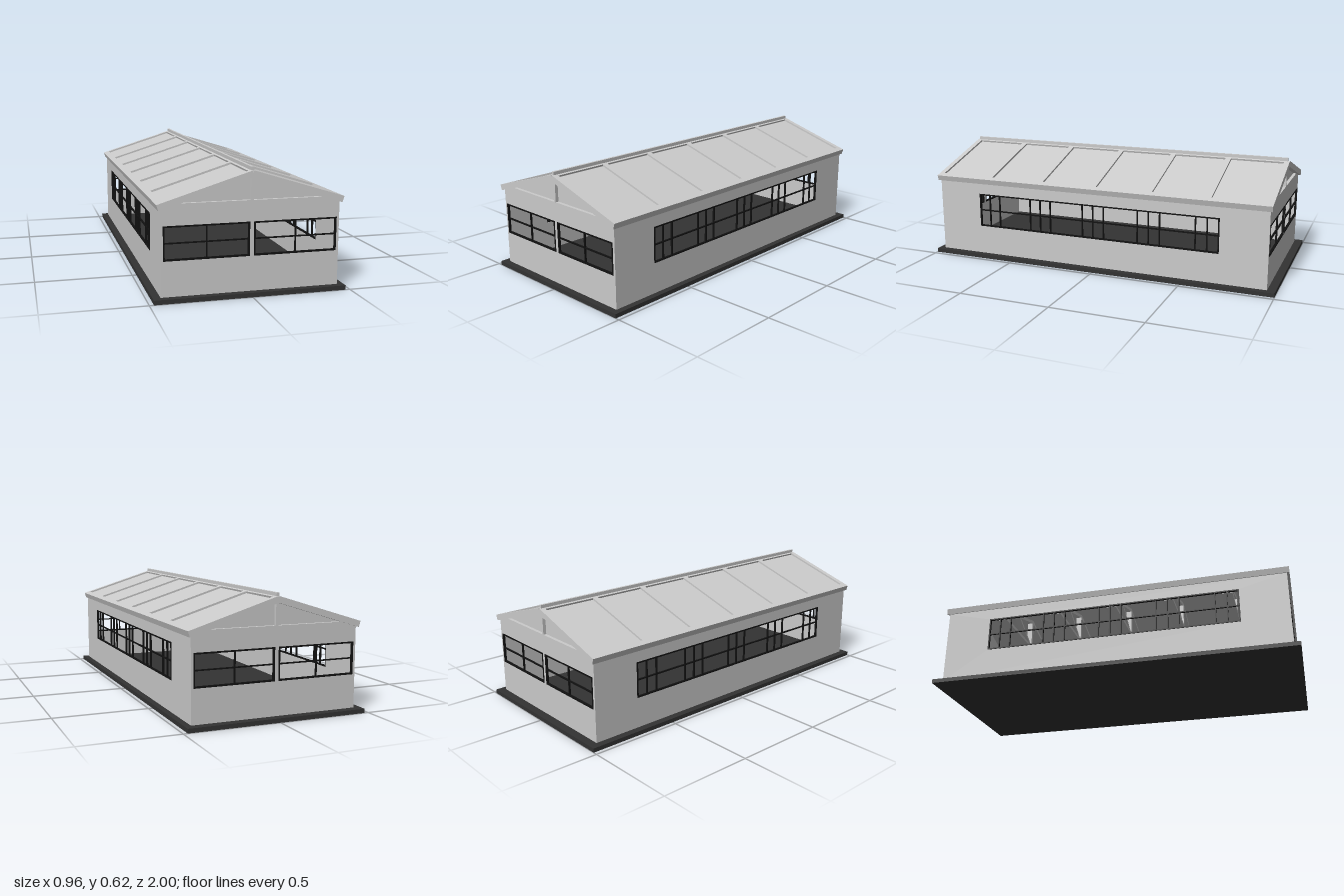
import * as THREE from 'three';

const grey = new THREE.MeshStandardMaterial({ color: 0xcccccc, side: THREE.DoubleSide });
const dark = new THREE.MeshStandardMaterial({ color: 0x333333 });
const black = new THREE.MeshStandardMaterial({ color: 0x111111 });

const HX = 0.443, HZ = 0.961, ROOF_Z = 0.974; // wall and roof half sizes
const BASE = 0.022, EAVE = 0.44, WALL = 0.01, APEX = 0.608;
const PITCH = Math.atan(0.309), SLOPE = 0.48;
const BAYS = [-0.64, -0.32, 0, 0.32, 0.64];

function box(parent, name, w, h, d, x, y, z, mat = grey) {
  const m = new THREE.Mesh(new THREE.BoxGeometry(w, h, d), mat);
  m.name = name;
  m.position.set(x, y, z);
  parent.add(m);
  return m;
}

// Beam between two points in the cross-section plane
function beam(parent, name, a, b, thick, depth, z) {
  const dx = b[0] - a[0], dy = b[1] - a[1];
  const m = box(parent, name, Math.hypot(dx, dy), thick, depth, (a[0] + b[0]) / 2, (a[1] + b[1]) / 2, z);
  m.rotation.z = Math.atan2(dy, dx);
}

const poly = pts => new THREE.Shape(pts.map(p => new THREE.Vector2(...p)));
const rect = (x0, y0, x1, y1) => [[x0, y0], [x1, y0], [x1, y1], [x0, y1]];

function plate(parent, name, pts, holes, depth, z) {
  const shape = poly(pts);
  holes.forEach(h => shape.holes.push(poly(h)));
  const m = new THREE.Mesh(new THREE.ExtrudeGeometry(shape, { depth, bevelEnabled: false }), grey);
  m.name = name;
  m.position.z = z;
  parent.add(m);
  return m;
}

// Open window frame with vertical bars at the given offsets and one middle rail
function windowFrame(parent, name, x, y, z, w, h, bars, t) {
  const g = new THREE.Group();
  g.name = name;
  g.position.set(x, y, z);
  const depth = 0.012;
  for (const s of [-1, 1]) {
    box(g, 'frameRail', w, t, depth, 0, s * (h - t) / 2, 0, black);
    box(g, 'frameStile', t, h, depth, s * (w - t) / 2, 0, 0, black);
  }
  box(g, 'middleRail', w, 0.006, depth * 0.8, 0, 0, 0, black);
  bars.forEach(b => box(g, 'glazingBar', 0.006, h, depth * 0.8, b, 0, 0, black));
  parent.add(g);
}

// End wall with two windows, and a recessed gable above
function endWall() {
  const g = new THREE.Group();
  const holes = [-0.22, 0.22].map(c => rect(c - 0.21, 0.195, c + 0.21, 0.362));
  plate(g, 'endWall', rect(-HX, BASE, HX, EAVE), holes, WALL, HZ - WALL);
  for (const s of [-1, 1]) windowFrame(g, 'endWindow', s * 0.22, 0.2785, HZ - 0.004, 0.42, 0.167, [0], 0.008);
  plate(g, 'gablePanel', [[-HX, EAVE], [HX, EAVE], [0, 0.578]], [], 0.008, HZ - 0.025);
  plate(g, 'gableRail', [[-HX, EAVE], [HX, EAVE], [0.356, 0.465], [-0.356, 0.465]], [], 0.017, HZ - 0.017);
  box(g, 'gablePost', 0.014, 0.112, 0.017, 0, 0.521, HZ - 0.0085);
  return g;
}

// Long side wall with a ribbon window
function sideWall() {
  const g = new THREE.Group();
  plate(g, 'sideWall', rect(-HZ, BASE, HZ, EAVE), [rect(-0.705, 0.185, 0.705, 0.375)], WALL, HX - WALL);
  const bars = BAYS.flatMap(b => [b - 0.0625, b, b + 0.0625]);
  windowFrame(g, 'sideWindow', 0, 0.28, HX - 0.003, 1.41, 0.19, bars, 0.007);
  return g;
}

// One slope: a deck with a raised grid of battens framing six panels
function roofSlope() {
  const g = new THREE.Group();
  const t = 0.01, deck = 0.0215;
  box(g, 'roofDeck', SLOPE, deck, ROOF_Z * 2, SLOPE / 2, -deck / 2, 0);
  const holes = [-0.8, -0.48, -0.16, 0.16, 0.48, 0.8].map(c => rect(0.016, c - 0.145, 0.447, c + 0.145));
  const battens = plate(g, 'roofBattens', rect(0, -ROOF_Z, SLOPE, ROOF_Z), holes, t, 0);
  battens.rotation.x = -Math.PI / 2;
  g.rotation.z = -PITCH;
  g.position.y = APEX - t / Math.cos(PITCH);
  return g;
}

// Roof truss: tie beam, king post, rafters and braces
function truss(z) {
  const g = new THREE.Group();
  g.name = 'truss';
  box(g, 'tieBeam', 2 * (HX - WALL), 0.016, 0.06, 0, 0.375, z);
  box(g, 'kingPost', 0.02, 0.18, 0.03, 0, 0.473, z);
  for (const s of [-1, 1]) {
    beam(g, 'rafter', [0, 0.566], [s * 0.425, 0.434], 0.018, 0.03, z);
    beam(g, 'brace', [0, 0.385], [s * 0.21, 0.498], 0.014, 0.03, z);
  }
  return g;
}

export function createModel() {
  const model = new THREE.Group();
  model.name = 'hall';
  box(model, 'basePlate', 0.956, BASE, 2, 0, BASE / 2, 0, dark);

  const building = new THREE.Group();
  building.name = 'building';
  building.position.set(0.0025, 0, 0.005);
  model.add(building);

  for (const turn of [0, Math.PI]) {
    const half = new THREE.Group();
    half.name = turn ? 'backRightHalf' : 'frontLeftHalf';
    half.rotation.y = turn;
    const side = sideWall();
    side.rotation.y = Math.PI / 2;
    half.add(endWall(), side, roofSlope());
    building.add(half);
  }
  box(building, 'ridgeCap', 0.014, 0.03, ROOF_Z * 2 - 0.02, 0, 0.608, 0);
  BAYS.forEach(z => building.add(truss(z)));
  return model;
}
